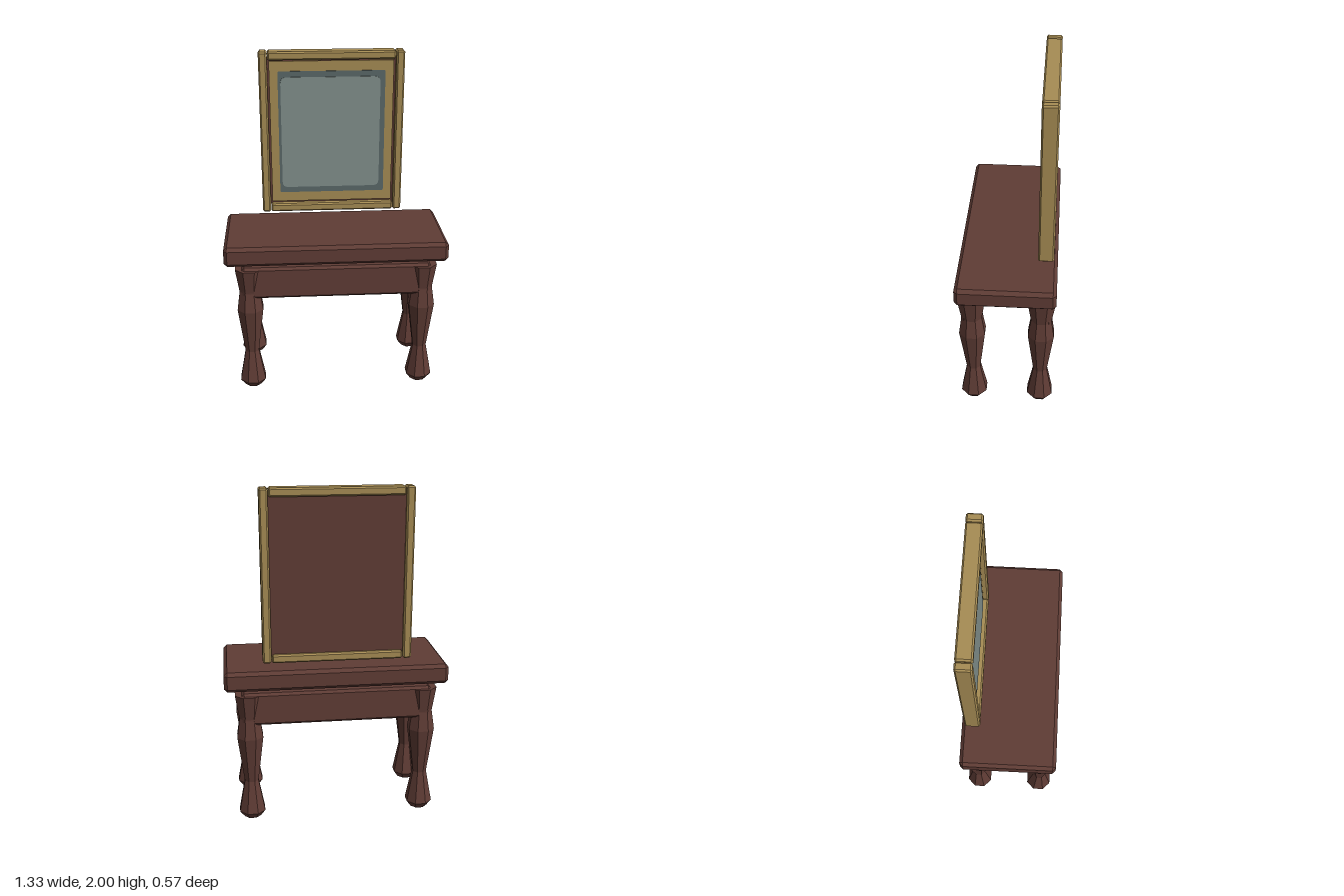
import * as THREE from 'three';
import { ConvexGeometry } from 'three/addons/geometries/ConvexGeometry.js';

const mat = (name, color) => {
  const m = new THREE.MeshStandardMaterial({ color, flatShading: true });
  m.name = name;
  return m;
};

// Box with every edge chamfered by c
function chamferBox(w, h, d, c) {
  const pts = [];
  for (const sx of [-1, 1]) for (const sy of [-1, 1]) for (const sz of [-1, 1]) {
    const x = w / 2, y = h / 2, z = d / 2;
    pts.push(
      new THREE.Vector3(sx * x, sy * (y - c), sz * (z - c)),
      new THREE.Vector3(sx * (x - c), sy * y, sz * (z - c)),
      new THREE.Vector3(sx * (x - c), sy * (y - c), sz * z));
  }
  return new ConvexGeometry(pts);
}

// Thin plate with rounded corners
function roundedPlate(w, h, r, depth) {
  const x = w / 2, y = h / 2;
  const s = new THREE.Shape();
  s.moveTo(-x + r, -y);
  s.lineTo(x - r, -y);
  s.quadraticCurveTo(x, -y, x, -y + r);
  s.lineTo(x, y - r);
  s.quadraticCurveTo(x, y, x - r, y);
  s.lineTo(-x + r, y);
  s.quadraticCurveTo(-x, y, -x, y - r);
  s.lineTo(-x, -y + r);
  s.quadraticCurveTo(-x, -y, -x + r, -y);
  return new THREE.ExtrudeGeometry(s, { depth, bevelEnabled: false, curveSegments: 4 });
}

export function createModel() {
  const wood = mat('dark wood', 0x5f3c35);
  const gold = mat('gilded wood', 0xa68c54);
  const glass = mat('mirror glass', 0x82908c);
  const glassEdge = mat('mirror border', 0x5a6868);

  const model = new THREE.Group();
  model.name = 'dressingTable';
  const add = (parent, name, geo, material, x, y, z) => {
    const m = new THREE.Mesh(geo, material);
    m.name = name;
    m.position.set(x, y, z);
    parent.add(m);
    return m;
  };

  // Table top
  add(model, 'tableTop', chamferBox(1.325, 0.12, 0.575, 0.02), wood, 0, 0.895, 0);

  // Front and back aprons
  const apron = chamferBox(1.125, 0.2, 0.105, 0.015);
  add(model, 'frontApron', apron, wood, 0, 0.715, 0.212);
  add(model, 'backApron', apron, wood, 0, 0.715, -0.212);

  // Turned eight-sided legs, flat side forward
  const k = 1 / Math.cos(Math.PI / 8);
  const profile = [[0, 0], [0.05, 0], [0.077, 0.04], [0.041, 0.24], [0.077, 0.53],
    [0.06, 0.65], [0.082, 0.8], [0, 0.8]].map(([r, y]) => new THREE.Vector2(r * k, y));
  const leg = new THREE.LatheGeometry(profile, 8, Math.PI / 8);
  for (const [sx, side] of [[1, 'Left'], [-1, 'Right']])
    for (const [sz, end] of [[1, 'front'], [-1, 'back']])
      add(model, `${end}${side}Leg`, leg, wood, sx * 0.52, 0, sz * 0.204);

  // Standing mirror
  const mirror = new THREE.Group();
  mirror.name = 'mirror';
  mirror.position.set(0, 1.5, -0.22);
  model.add(mirror);

  const post = chamferBox(0.05, 1, 0.092, 0.009);
  const rail = chamferBox(0.762, 0.05, 0.092, 0.009);
  add(mirror, 'leftPost', post, gold, 0.409, 0, 0);
  add(mirror, 'rightPost', post, gold, -0.409, 0, 0);
  add(mirror, 'topRail', rail, gold, 0, 0.475, 0);
  add(mirror, 'bottomRail', rail, gold, 0, -0.475, 0);

  // Backing board, gilded mat and the glass with its darker border
  add(mirror, 'backingBoard', new THREE.BoxGeometry(0.78, 0.92, 0.03), wood, 0, 0, -0.01);
  add(mirror, 'innerPanel', new THREE.BoxGeometry(0.745, 0.88, 0.01), gold, 0, 0, 0.01);
  add(mirror, 'mirrorBorder', roundedPlate(0.645, 0.76, 0.01, 0.004), glassEdge, 0, 0, 0.015);
  add(mirror, 'mirrorGlass', roundedPlate(0.6, 0.69, 0.035, 0.004), glass, -0.007, 0, 0.019);

  return model;
}
